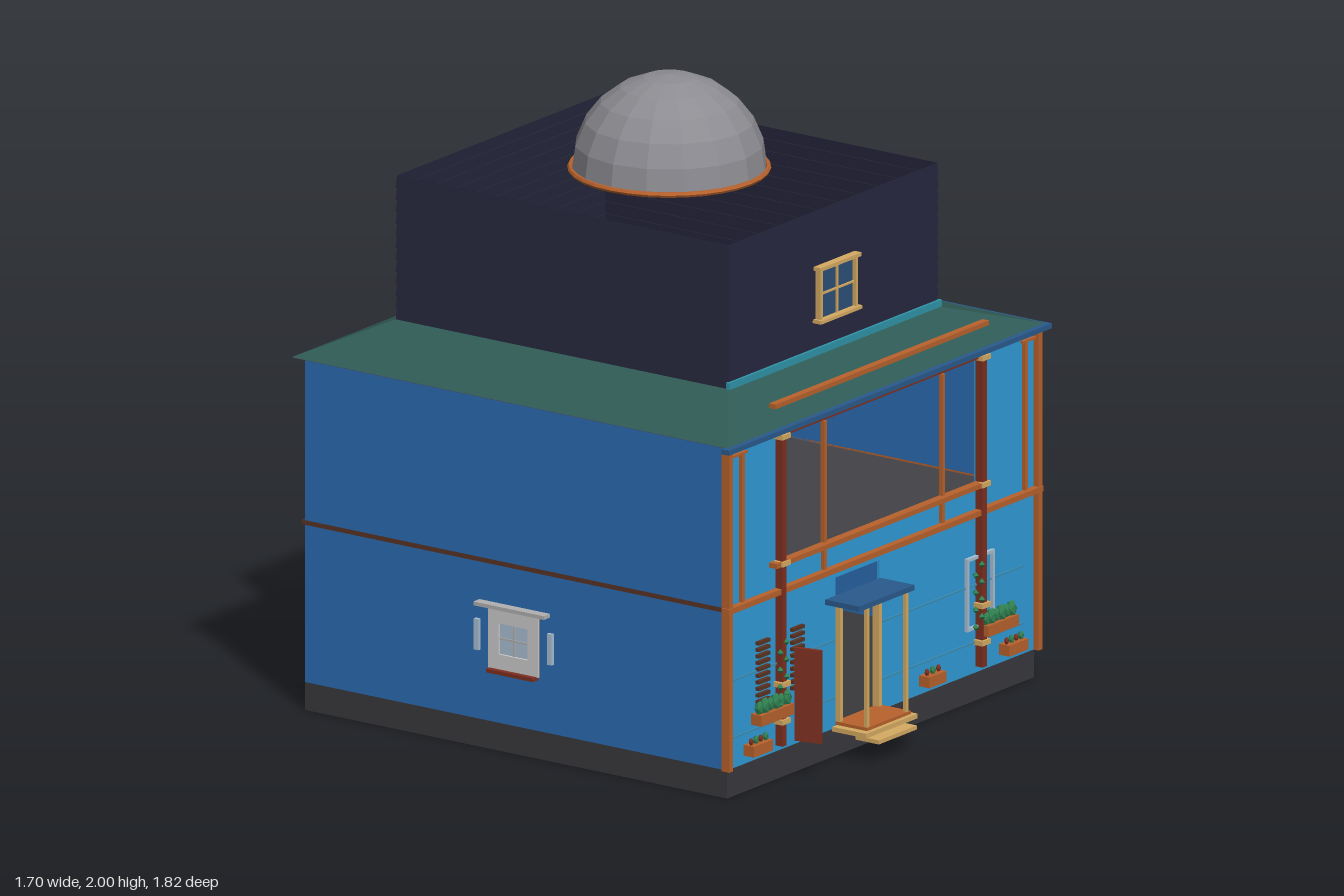
import * as THREE from 'three';

const C = {
  sky: 0x2f9bd8, blue: 0x2b6cb3, deep: 0x2a5a8c, orange: 0xb8622c, rust: 0x7e3020, brown: 0x5a3424,
  cream: 0xd6ab62, glass: 0x2c5078, dark: 0x434347, navy: 0x25263c, roof: 0x2f5a55, teal: 0x2f93a8,
  stripeOrange: 0xd98748, stripeRust: 0xb04f2a, green: 0x2f8050, grey: 0xb0b0b0, white: 0xffffff, pale: 0xa9c0d4,
};
const mats = {};
const mat = (color, double) => mats[color + (double ? 'd' : '')] ??= new THREE.MeshStandardMaterial({
  color, flatShading: true, side: double ? THREE.DoubleSide : THREE.FrontSide });

function add(parent, name, geo, color, double) {
  const m = new THREE.Mesh(geo, mat(color, double));
  m.name = name;
  parent.add(m);
  return m;
}
// box given by its limits on each axis
function box(parent, name, color, x0, x1, y0, y1, z0, z1) {
  const m = add(parent, name, new THREE.BoxGeometry(x1 - x0, y1 - y0, z1 - z0), color);
  m.position.set((x0 + x1) / 2, (y0 + y1) / 2, (z0 + z1) / 2);
  return m;
}
function group(parent, name, x = 0, y = 0, z = 0, ry = 0) {
  const g = new THREE.Group();
  g.name = name;
  g.position.set(x, y, z);
  g.rotation.y = ry;
  parent.add(g);
  return g;
}
// thin wall with rectangular holes [x0, x1, y0, y1]
function wall(parent, name, color, [x0, x1, y0, y1], holes = []) {
  const rect = (P, [a, b, c, d]) => {
    const p = new P();
    p.moveTo(a, c); p.lineTo(b, c); p.lineTo(b, d); p.lineTo(a, d); p.closePath();
    return p;
  };
  const s = rect(THREE.Shape, [x0, x1, y0, y1]);
  s.holes = holes.map(h => rect(THREE.Path, h));
  return add(parent, name, new THREE.ExtrudeGeometry(s, { depth: 0.01, bevelEnabled: false }), color);
}
// four sloping sides between two rectangles [x0, x1, z0, z1]
function skirt(parent, name, color, low, y0, high, y1) {
  const ring = ([a, b, c, d], y) => [[a, y, d], [b, y, d], [b, y, c], [a, y, c]];
  const L = ring(low, y0), H = ring(high, y1), v = [];
  for (let i = 0; i < 4; i++) {
    const j = (i + 1) % 4;
    v.push(...L[i], ...L[j], ...H[j], ...L[i], ...H[j], ...H[i]);
  }
  const g = new THREE.BufferGeometry();
  g.setAttribute('position', new THREE.Float32BufferAttribute(v, 3));
  g.computeVertexNormals();
  return add(parent, name, g, color, true);
}
// framed window facing local +z, centred on its group
function framedWindow(parent, name, w, h, { bars = 1, rows = 1, shutters = false } = {}) {
  const g = group(parent, name), a = w / 2, b = h / 2, t = 0.012;
  box(g, 'glass', C.glass, -a, a, -b, b, 0, 0.008);
  for (const s of [-1, 1]) {
    box(g, 'frameSide', C.cream, s * a - t / 2, s * a + t / 2, -b, b, 0, 0.02);
    box(g, 'frameRail', C.cream, -a - 0.015, a + 0.015, s * b - t / 2, s * b + t / 2, 0, 0.027);
    if (shutters) for (let i = 0; i < 9; i++) {
      const y = -b + (i + 0.5) * h / 9;
      box(g, 'shutterSlat', C.brown, s * (a + 0.017) - 0.011, s * (a + 0.017) + 0.011, y - 0.007, y + 0.007, 0, 0.03);
    }
  }
  for (let i = 1; i <= bars; i++) {
    const x = -a + i * w / (bars + 1);
    box(g, 'mullion', C.cream, x - 0.003, x + 0.003, -b, b, 0, 0.014);
  }
  for (let i = 1; i <= rows; i++) {
    const y = -b + i * h / (rows + 1);
    box(g, 'crossBar', C.cream, -a, a, y - 0.003, y + 0.003, 0, 0.014);
  }
  return g;
}
// white inner frame, dark outside, with a small pane and an awning on the +z side
function recessedWindow(parent, name) {
  const g = group(parent, name), hole = [[-0.055, 0.055, -0.05, 0.05]];
  wall(g, 'innerFrame', C.white, [-0.095, 0.095, -0.1, 0.1], hole).position.z = 0.012;
  wall(g, 'outerFrame', C.dark, [-0.095, 0.095, -0.1, 0.1], hole);
  box(g, 'pane', C.pale, -0.055, 0.055, -0.05, 0.05, 0.006, 0.014);
  box(g, 'paneBar', C.grey, -0.003, 0.003, -0.05, 0.05, 0.004, 0.018);
  box(g, 'paneRail', C.grey, -0.055, 0.055, -0.003, 0.003, 0.004, 0.018);
  box(g, 'sill', C.rust, -0.09, 0.09, -0.11, -0.098, 0.012, 0.04);
  box(g, 'awning', C.grey, -0.135, 0.135, 0.1, 0.112, 0.012, 0.045);
  for (const s of [-1, 1]) box(g, 'sideLeaf', C.pale, s * 0.14 - 0.009, s * 0.14 + 0.009, -0.05, 0.05, 0.012, 0.024);
  return g;
}
function planter(parent, x0, x1, y, leaf) {
  const g = group(parent, 'planter');
  box(g, 'trough', C.orange, x0, x1, y, y + 0.035, 0.75, 0.79);
  const n = Math.round((x1 - x0) / 0.028);
  for (let i = 0; i < n; i++) {
    const p = add(g, 'plant', new THREE.IcosahedronGeometry(leaf * (i % 2 ? 1 : 0.8), 0), i % 2 || leaf > 0.02 ? C.green : C.rust);
    p.position.set(x0 + (i + 0.5) * (x1 - x0) / n, y + 0.035 + leaf * 0.7, 0.77);
    p.scale.set(0.8, 1.2, 0.7);
  }
}

export function createModel() {
  const root = new THREE.Group();
  root.name = 'house';

  // base, floor and walls
  box(root, 'base', 0x39393d, -0.82, 0.79, 0, 0.09, -0.87, 0.745);
  box(root, 'upperFloor', C.dark, -0.81, 0.78, 0.6, 0.612, -0.86, 0.735);
  wall(root, 'frontWall', C.sky, [-0.82, 0.79, 0.09, 1.13],
    [[-0.54, 0.49, 0.7, 1.115], [-0.25, -0.02, 0.095, 0.575]]).position.z = 0.735;
  wall(root, 'backWall', C.blue, [-0.82, 0.79, 0.09, 1.13],
    [[-0.11, 0.08, 0.72, 0.92], [-0.11, 0.08, 0.265, 0.465]]).position.z = -0.87;
  const side = group(root, 'rightSide', -0.81, 0, 0, -Math.PI / 2);
  wall(side, 'rightWall', C.blue, [-0.86, 0.735, 0.09, 1.13], [[-0.16, 0.03, 0.265, 0.465]]);
  box(root, 'leftWall', C.blue, 0.78, 0.79, 0.09, 1.13, -0.86, 0.735);

  // windows set into the plain walls
  for (const y of [0.365, 0.82]) recessedWindow(root, 'backWindow').position.set(-0.015, y, -0.87);
  recessedWindow(side, 'rightWindow').position.set(-0.065, 0.365, 0);

  // striped boarding on the left side
  const stripes = [C.stripeOrange, C.stripeRust, C.teal];
  for (const top of [1.1, 0.595]) for (let i = 0; i < 12; i++)
    box(root, 'stripeBoard', stripes[i % 3], 0.789, 0.797, top - (i + 1) * 0.04, top - i * 0.04, -0.87, 0.745);
  for (const z of [0.69, 0.385, -0.06, -0.51, -0.8])
    box(root, 'sideBatten', C.orange, 0.79, 0.806, z === 0.69 || z === -0.8 ? 0.62 : 0.11, 1.1, z - 0.007, z + 0.007);
  for (const y of [0.575, 0.73, 0.945, 1.1]) box(root, 'sideRail', C.orange, 0.79, 0.801, y - 0.004, y + 0.004, -0.87, 0.745);
  box(root, 'sideAwning', C.grey, 0.79, 0.822, 0.485, 0.495, -0.2, 0.07);
  for (const [z, y, w, h, o] of [
    [0.505, 0.84, 0.13, 0.17, { bars: 4, rows: 0 }],
    [-0.555, 0.84, 0.12, 0.19, { shutters: true }],
    [0.12, 0.365, 0.26, 0.22, { bars: 2 }],
    [-0.38, 0.36, 0.12, 0.19, { shutters: true }],
  ]) {
    const g = group(root, 'sideWindow', 0.8, y, z, Math.PI / 2);
    framedWindow(g, 'window', w, h, o);
  }

  // bands and corner posts
  skirt(root, 'storeyBand', C.brown, [-0.827, 0.8, -0.877, 0.75], 0.6, [-0.827, 0.8, -0.877, 0.75], 0.615);
  box(root, 'frontBand', C.orange, -0.84, 0.81, 0.6, 0.618, 0.74, 0.768);
  box(root, 'leftBand', C.orange, 0.78, 0.81, 0.6, 0.618, -0.88, 0.75);
  for (const x of [-0.825, 0.797]) box(root, 'cornerPost', C.orange, x - 0.01, x + 0.01, 0.09, 1.13, 0.735, 0.765);
  box(root, 'rearCornerPost', C.orange, 0.787, 0.807, 0.09, 1.13, -0.88, -0.86);

  // front framing around the open balcony
  for (const x of [-0.75, -0.32, 0.3, 0.735]) box(root, 'frontBatten', C.orange, x - 0.007, x + 0.007, 0.62, 1.1, 0.744, 0.758);
  for (const x of [-0.555, 0.495]) {
    box(root, 'balconyPost', C.rust, x - 0.011, x + 0.011, 0.11, 1.12, 0.745, 0.772);
    for (const y of [0.19, 0.31, 0.7, 1.11]) box(root, 'postCollar', C.cream, x - 0.022, x + 0.022, y - 0.008, y + 0.008, 0.745, 0.78);
  }
  box(root, 'balconyRail', C.orange, -0.6, 0.52, 0.692, 0.708, 0.745, 0.775);
  box(root, 'balconyHeader', C.rust, -0.57, 0.51, 1.108, 1.122, 0.74, 0.765);
  for (const x of [-0.815, 0.72]) box(root, 'topTrim', C.orange, x, x + 0.09, 1.095, 1.103, 0.744, 0.755);
  for (const y of [0.19, 0.375]) for (const [a, b] of [[-0.8, -0.26], [-0.01, 0.73]])
    box(root, 'wallLine', 0x3a8fb8, a, b, y - 0.003, y + 0.003, 0.744, 0.75);

  // doorway, porch and steps
  for (const x of [-0.24, -0.035]) {
    box(root, 'doorJamb', C.cream, x - 0.008, x + 0.008, 0.1, 0.49, 0.735, 0.76);
    box(root, 'porchPost', C.cream, x - 0.006, x + 0.006, 0.11, 0.5, 0.85, 0.862);
  }
  box(root, 'doorHead', C.cream, -0.24, -0.035, 0.475, 0.49, 0.735, 0.76);
  box(root, 'porchCanopy', C.deep, -0.305, -0.015, 0.5, 0.517, 0.745, 0.875);
  box(root, 'porchFloor', C.orange, -0.25, -0.02, 0.095, 0.11, 0.74, 0.865);
  box(root, 'upperStep', C.cream, -0.275, -0.005, 0.085, 0.1, 0.75, 0.88);
  box(root, 'lowerStep', C.cream, -0.25, -0.05, 0.065, 0.078, 0.82, 0.91);
  box(root, 'openLeaf', C.rust, -0.007, 0.007, 0.12, 0.42, 0, 0.09).parent.children.at(-1).position.set(-0.502, 0.27, 0.825);
  root.children.at(-1).rotation.y = -0.2 + 0.4;

  // shutters, trellis and planters on the front
  for (const x of [-0.64, -0.46]) for (let i = 0; i < 10; i++)
    box(root, 'shutterSlat', C.brown, x - 0.03, x + 0.03, 0.27 + i * 0.021, 0.281 + i * 0.021, 0.745, 0.758);
  for (const x of [0.43, 0.565]) box(root, 'trellisSide', C.pale, x - 0.005, x + 0.005, 0.24, 0.47, 0.745, 0.757);
  for (const y of [0.24, 0.465]) box(root, 'trellisRail', C.pale, 0.425, 0.57, y - 0.005, y + 0.005, 0.745, 0.757);
  for (const x of [-0.565, 0.46]) for (let i = 0; i < 8; i++) {
    const p = add(root, 'vineLeaf', new THREE.OctahedronGeometry(0.012), C.green);
    p.position.set(x + (i % 2 ? 0.016 : -0.016), 0.25 + i * 0.028, 0.775);
  }
  for (const [a, b] of [[-0.74, -0.64], [0.18, 0.27], [0.6, 0.7]]) planter(root, a, b, 0.12, 0.014);
  for (const [a, b] of [[-0.7, -0.53], [0.49, 0.65]]) planter(root, a, b, 0.21, 0.026);

  // hipped roof and its edges
  skirt(root, 'roof', C.roof, [-0.846, 0.82, -0.9, 0.765], 1.14, [-0.567, 0.534, -0.707, 0.567], 1.228);
  skirt(root, 'eaves', C.dark, [-0.82, 0.79, -0.87, 0.745], 1.13, [-0.846, 0.82, -0.9, 0.765], 1.138);
  box(root, 'frontGutter', C.deep, -0.865, 0.83, 1.124, 1.14, 0.755, 0.785);
  box(root, 'sideGutter', C.deep, 0.805, 0.828, 1.124, 1.14, -0.91, 0.785);
  box(root, 'roofRail', C.orange, -0.6, 0.52, 1.207, 1.222, 0.745, 0.77);

  // open tower of lapped boards
  const rows = 12, y0 = 1.225, step = (1.692 - y0) / rows;
  for (let i = 0; i < rows; i++)
    skirt(root, 'towerBoard', C.navy, [-0.567, 0.534, -0.707, 0.567], y0 + i * step,
      [-0.564, 0.531, -0.704, 0.564], y0 + (i + 1) * step);
  box(root, 'towerBand', C.teal, -0.575, 0.54, 1.228, 1.25, 0.562, 0.575);
  framedWindow(root, 'towerWindow', 0.185, 0.17).position.set(-0.018, 1.425, 0.57);
  box(root, 'towerWindowSill', C.cream, -0.125, 0.09, 1.335, 1.345, 0.565, 0.6);
  box(root, 'towerWindowBack', C.pale, -0.11, 0.075, 1.34, 1.51, 0.55, 0.56);
  box(root, 'towerAwning', C.grey, -0.127, 0.092, 1.515, 1.53, 0.517, 0.56);

  // faceted dome with its ring
  const dome = add(root, 'dome', new THREE.SphereGeometry(0.305, 16, 6, 0, Math.PI * 2, 0, Math.PI / 2), 0x8c8c92, true);
  dome.position.set(-0.012, 1.7, -0.065);
  dome.scale.y = 0.3 / 0.305;
  const ring = add(root, 'domeRing', new THREE.TorusGeometry(0.307, 0.009, 6, 32), C.orange);
  ring.position.set(-0.012, 1.7, -0.065);
  ring.rotation.x = Math.PI / 2;
  return root;
}
